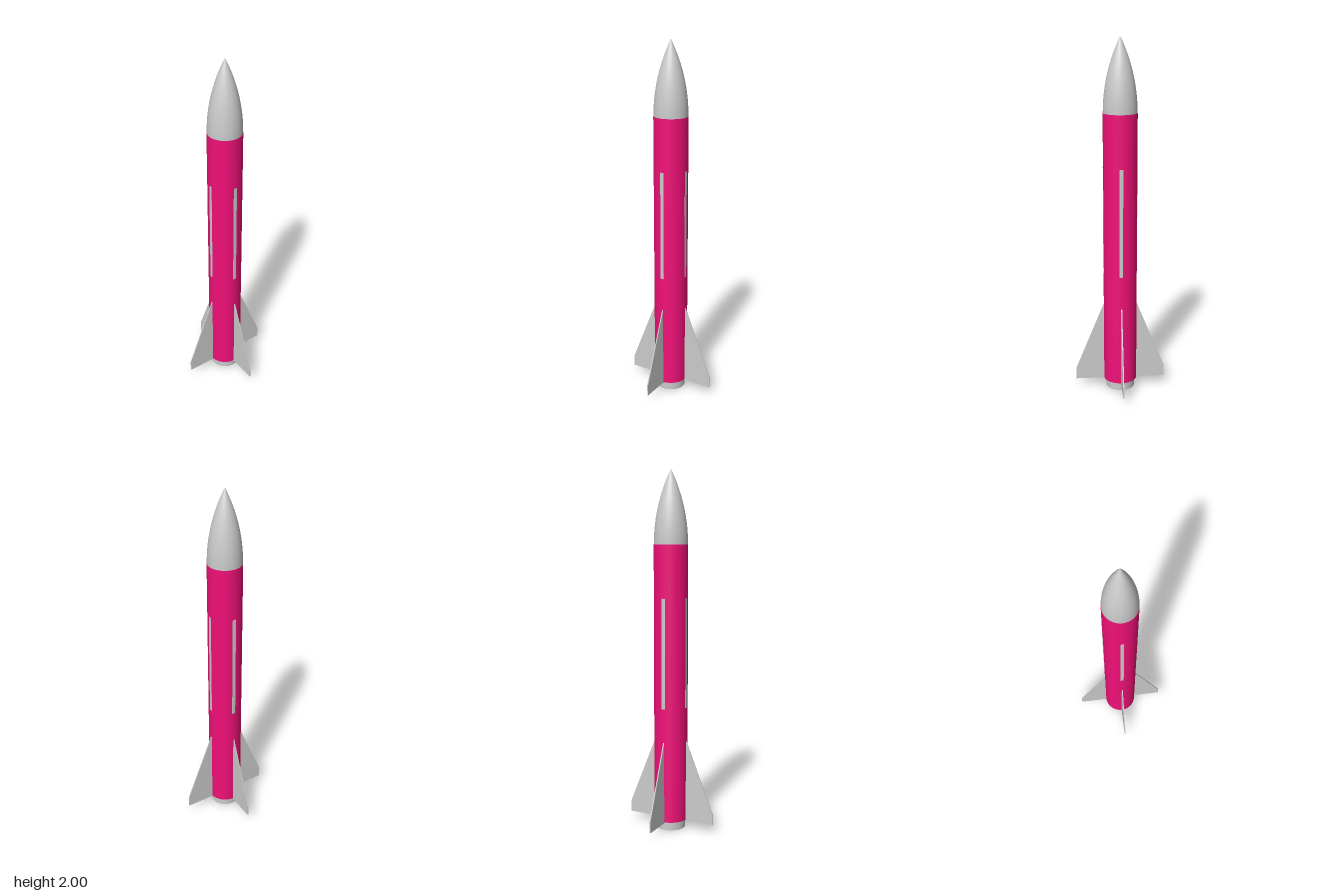
import * as THREE from 'three';

const BODY_R = 0.094;
const NOSE_BASE = 1.6;
const NOSE_LEN = 0.4;

export function createModel() {
  const model = new THREE.Group();
  model.name = 'rocket';
  const grey = new THREE.MeshStandardMaterial({ color: 0xcccccc });
  const pink = new THREE.MeshStandardMaterial({ color: 0xf01078 });

  const add = (name, geometry, material, parent = model) => {
    const mesh = new THREE.Mesh(geometry, material);
    mesh.name = name;
    parent.add(mesh);
    return mesh;
  };

  // Cylinder standing between two heights
  const tube = (name, r, y0, y1, material) => {
    add(name, new THREE.CylinderGeometry(r, r, y1 - y0, 64), material).position.y = (y0 + y1) / 2;
  };
  tube('bodyTube', BODY_R, 0.05, NOSE_BASE, pink);
  tube('nozzle', 0.081, 0, 0.06, grey);

  // Nose cone: tangent ogive
  const noseR = 0.093;
  const rho = (noseR ** 2 + NOSE_LEN ** 2) / (2 * noseR);
  const profile = [];
  for (let i = 0; i <= 32; i++) {
    const y = (NOSE_LEN * i) / 32;
    const r = Math.sqrt(rho * rho - y * y) + noseR - rho;
    profile.push(new THREE.Vector2(Math.max(r, 0), NOSE_BASE + y));
  }
  add('noseCone', new THREE.LatheGeometry(profile, 64), grey);

  // Swept fin outline, rooted just inside the body
  const finShape = new THREE.Shape([
    [0.085, 0.045], [0.257, 0.045], [0.257, 0.11], [0.095, 0.51], [0.085, 0.51],
  ].map(([x, y]) => new THREE.Vector2(x, y)));
  const finGeometry = new THREE.ExtrudeGeometry(finShape, { depth: 0.006, bevelEnabled: false });
  finGeometry.translate(0, 0, -0.005);

  // Flush strip that follows the curve of the body
  const halfAngle = 0.01 / BODY_R;
  const stripShape = new THREE.Shape();
  stripShape.absarc(0, 0, BODY_R + 0.0008, -halfAngle, halfAngle, false);
  stripShape.absarc(0, 0, BODY_R - 0.004, halfAngle, -halfAngle, true);
  const stripGeometry = new THREE.ExtrudeGeometry(stripShape, {
    depth: 0.61, bevelEnabled: false, curveSegments: 4,
  });
  stripGeometry.rotateX(-Math.PI / 2).translate(0, 0.7, 0);

  // Four fins and four strips, a quarter turn apart
  for (let i = 0; i < 4; i++) {
    const quarter = new THREE.Group();
    quarter.name = 'quarter' + (i + 1);
    quarter.rotation.y = (i * Math.PI) / 2;
    add('fin', finGeometry, grey, quarter);
    add('sideStrip', stripGeometry, grey, quarter);
    model.add(quarter);
  }

  return model;
}
